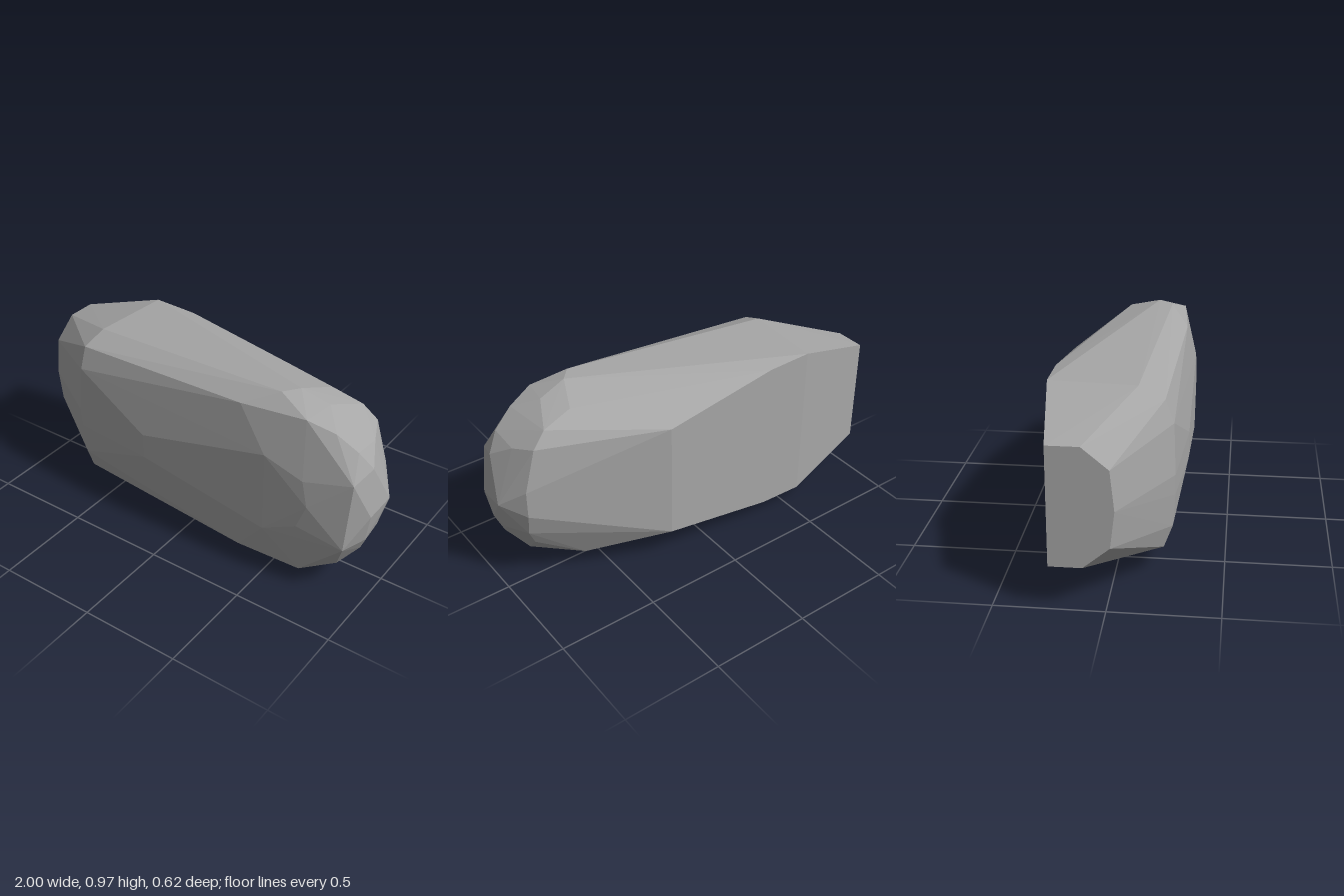
import * as THREE from 'three';
import { ConvexGeometry } from 'three/addons/geometries/ConvexGeometry.js';

const MID = 0.488; // height of the near-symmetry plane

// Corners that repeat above and below the middle: x, half height, z
const mirrored = [
  // flat narrow end
  [-1, 0.28, -0.25], [-1, 0.28, -0.1], [-1, 0.18, 0.02],
  // flat back
  [-0.57, 0.412, -0.31], [-0.34, 0.405, -0.31], [0.25, 0.305, -0.31],
  // shoulder near the narrow end
  [-0.6, 0.412, 0.1], [-0.62, 0.36, 0.22], [-0.62, 0.25, 0.26],
  // long front edges
  [0.34, 0.41, 0.26], [0.67, 0.427, 0.23], [0.5, 0.21, 0.3],
];

// Broad front facets
const front = [
  [-1, 0.48, 0.04], [-0.64, 0.5, 0.27], [-0.63, 0.4, 0.27],
  [-0.2, 0.53, 0.306], [-0.2, 0.4, 0.306], [0.7, 0.63, 0.29],
  [0.73, 0.5, 0.295], [0.68, 0.37, 0.295], [0.93, 0.67, 0.24], [0.91, 0.31, 0.26],
];

// Rounded broad end
const nose = [
  [0.5, 0.97, 0.17], [0.56, 0.974, 0.1], [0.7, 0.93, 0.08], [0.63, 0.925, -0.06],
  [0.78, 0.88, -0.08], [0.8, 0.87, 0.19], [0.85, 0.81, -0.1], [0.9, 0.78, 0.01],
  [0.9, 0.795, 0.16], [0.96, 0.71, 0.12], [0.91, 0.6, -0.105], [0.91, 0.46, -0.105],
  [1, 0.5, 0.01], [0.99, 0.48, 0.165], [0.96, 0.34, 0.03], [0.965, 0.33, 0.15],
  [0.9, 0.34, -0.075], [0.93, 0.245, 0.12], [0.86, 0.25, -0.05], [0.84, 0.14, 0.17],
  [0.84, 0.14, 0.05], [0.73, 0.05, 0.11], [0.53, 0, 0.15], [0.57, 0.01, 0.03],
  [0.62, 0.1, -0.1],
];

export function createModel() {
  const points = [...front, ...nose].map((p) => new THREE.Vector3(...p));
  for (const [x, h, z] of mirrored) {
    for (const side of [1, -1]) points.push(new THREE.Vector3(x, MID + side * h, z));
  }

  // Faceted stone wrapped around its corners
  const stone = new THREE.MeshStandardMaterial({ color: 0xa6a6a6, flatShading: true });
  stone.name = 'grey stone';
  const rock = new THREE.Mesh(new ConvexGeometry(points), stone);
  rock.name = 'rock';

  const model = new THREE.Group();
  model.name = 'facetedRock';
  model.add(rock);
  return model;
}
